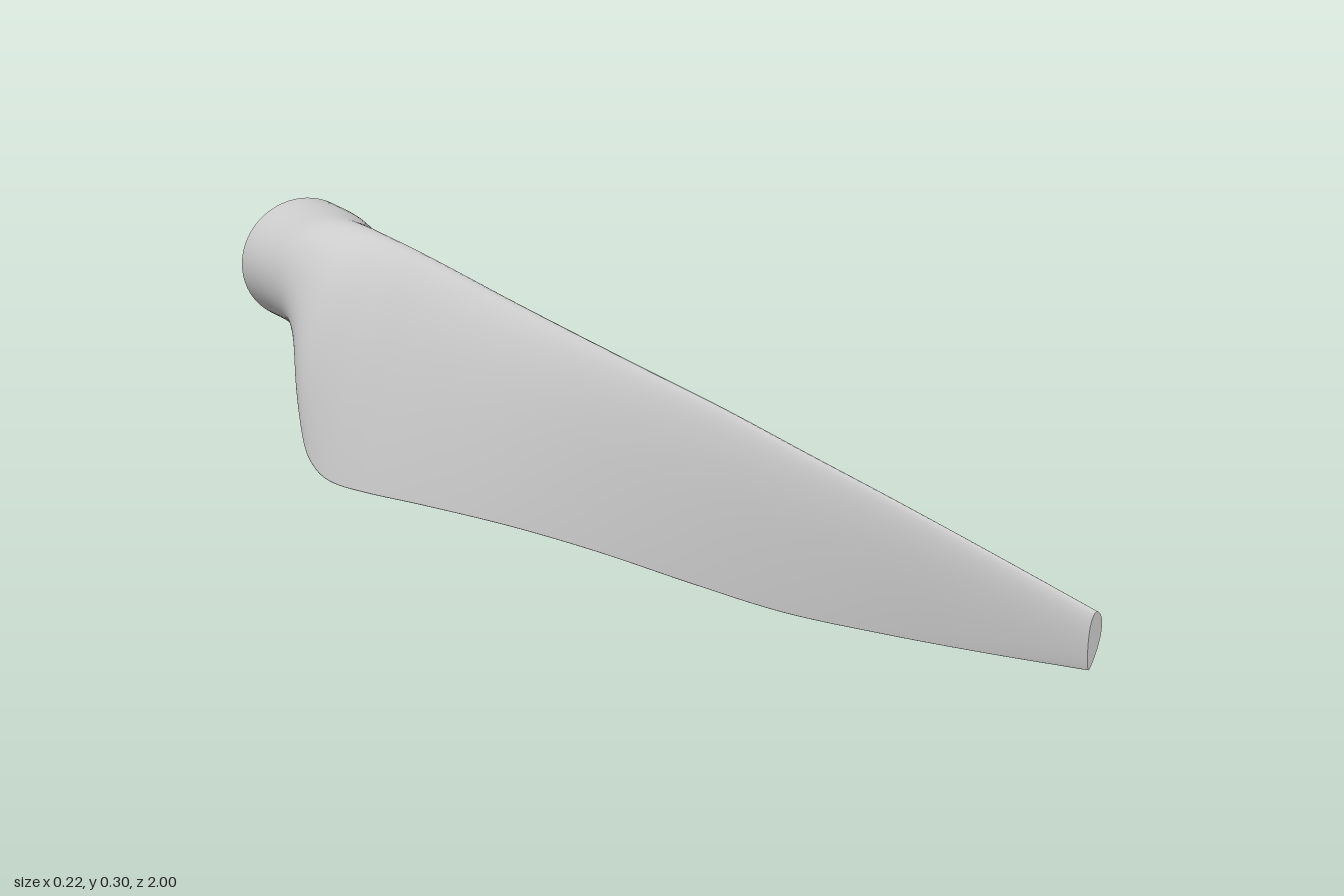
import * as THREE from 'three';

// Blade stations from root to tip:
// z, trailing edge x y, leading edge x y, left bulge, right bulge, airfoil share (0 = round)
const STATIONS = [
  [-1.0, 0.017, 0.130, 0.017, 0.300, 0.091, 0.091, 0],
  [-0.93, 0.014, 0.130, 0.017, 0.300, 0.089, 0.090, 0],
  [-0.88, -0.010, 0.124, 0.020, 0.300, 0.078, 0.088, 0.1],
  [-0.84, -0.045, 0.105, 0.024, 0.299, 0.062, 0.084, 0.3],
  [-0.80, -0.078, 0.070, 0.030, 0.297, 0.050, 0.078, 0.55],
  [-0.75, -0.097, 0.026, 0.035, 0.294, 0.039, 0.070, 0.85],
  [-0.70, -0.106, 0.007, 0.038, 0.292, 0.034, 0.065, 1],
  [-0.64, -0.109, 0.001, 0.038, 0.291, 0.030, 0.060, 1],
  [-0.55, -0.104, 0.009, 0.036, 0.290, 0.029, 0.057, 1],
  [-0.4, -0.087, 0.027, 0.030, 0.289, 0.026, 0.051, 1],
  [-0.2, -0.062, 0.048, 0.024, 0.288, 0.020, 0.043, 1],
  [0.0, -0.042, 0.065, 0.018, 0.288, 0.015, 0.035, 1],
  [0.2, -0.027, 0.079, 0.015, 0.287, 0.012, 0.028, 1],
  [0.4, -0.015, 0.097, 0.013, 0.282, 0.010, 0.022, 1],
  [0.6, -0.005, 0.127, 0.012, 0.277, 0.008, 0.017, 1],
  [0.8, 0.000, 0.162, 0.012, 0.270, 0.007, 0.013, 0.9],
  [1.0, 0.003, 0.200, 0.012, 0.262, 0.006, 0.009, 0.7],
];
const SIDES = 64;
const STEPS = 6;

// Smooth (Hermite) interpolation of one column between stations i and i + 1
function blend(i, f, col) {
  const at = (n) => STATIONS[Math.min(Math.max(n, 0), STATIONS.length - 1)];
  const slope = (n) => {
    const p = at(n - 1), q = at(n + 1);
    return (q[col] - p[col]) / (q[0] - p[0]);
  };
  const a = at(i), b = at(i + 1), h = b[0] - a[0];
  const f2 = f * f, f3 = f2 * f;
  return (2 * f3 - 3 * f2 + 1) * a[col] + (f3 - 2 * f2 + f) * h * slope(i)
    + (3 * f2 - 2 * f3) * b[col] + (f3 - f2) * h * slope(i + 1);
}

// Airfoil half thickness along the chord, scaled to a maximum of 1
const airfoil = (u) =>
  2 * (1.4845 * Math.sqrt(u) - 0.63 * u - 1.758 * u * u + 1.4215 * u ** 3 - 0.518 * u ** 4);

// Closed cross-section, running from the leading edge down the right side and back up
function section(i, f) {
  const z = THREE.MathUtils.lerp(STATIONS[i][0], STATIONS[i + 1][0], f);
  const [tx, ty, lx, ly, left, right, share] = [1, 2, 3, 4, 5, 6, 7].map((c) => blend(i, f, c));
  const k = THREE.MathUtils.clamp(share, 0, 1);
  const dx = tx - lx, dy = ty - ly, len = Math.hypot(dx, dy);
  const nx = -dy / len, ny = dx / len;
  const ring = [];
  for (let j = 0; j < SIDES; j++) {
    const t = (j / SIDES) * Math.PI * 2;
    const u = (1 - Math.cos(t)) / 2;
    const round = Math.abs(Math.sin(t));
    const half = THREE.MathUtils.lerp(round, Math.max(airfoil(u), 0), k);
    const off = Math.sin(t) >= 0 ? half * right : -half * left;
    ring.push(new THREE.Vector3(lx + dx * u + nx * off, ly + dy * u + ny * off, z));
  }
  return ring;
}

function buildGeometry(points, index) {
  const geometry = new THREE.BufferGeometry().setFromPoints(points);
  geometry.setIndex(index);
  geometry.computeVertexNormals();
  return geometry;
}

// Skin stretched over all cross-sections
function skin(rings) {
  const index = [];
  for (let i = 0; i < rings.length - 1; i++) {
    for (let j = 0; j < SIDES; j++) {
      const k = (j + 1) % SIDES;
      const a = i * SIDES + j, b = i * SIDES + k;
      index.push(a, a + SIDES, b, b, a + SIDES, b + SIDES);
    }
  }
  return buildGeometry(rings.flat(), index);
}

// Flat fan closing one end
function cap(ring, facesFront) {
  const centre = new THREE.Vector3();
  ring.forEach((p) => centre.addScaledVector(p, 1 / SIDES));
  const index = [];
  for (let j = 0; j < SIDES; j++) {
    const k = (j + 1) % SIDES;
    if (facesFront) index.push(SIDES, k, j);
    else index.push(SIDES, j, k);
  }
  return buildGeometry([...ring, centre], index);
}

export function createModel() {
  const group = new THREE.Group();
  group.name = 'turbineBlade';
  const material = new THREE.MeshStandardMaterial({ color: 0xcccccc });
  const add = (name, geometry) => {
    const mesh = new THREE.Mesh(geometry, material);
    mesh.name = name;
    group.add(mesh);
  };

  const rings = [];
  for (let i = 0; i < STATIONS.length - 1; i++) {
    for (let s = 0; s < STEPS; s++) rings.push(section(i, s / STEPS));
  }
  rings.push(section(STATIONS.length - 2, 1));

  add('bladeSkin', skin(rings));
  add('rootCap', cap(rings[0], false));
  add('tipCap', cap(rings[rings.length - 1], true));
  return group;
}
